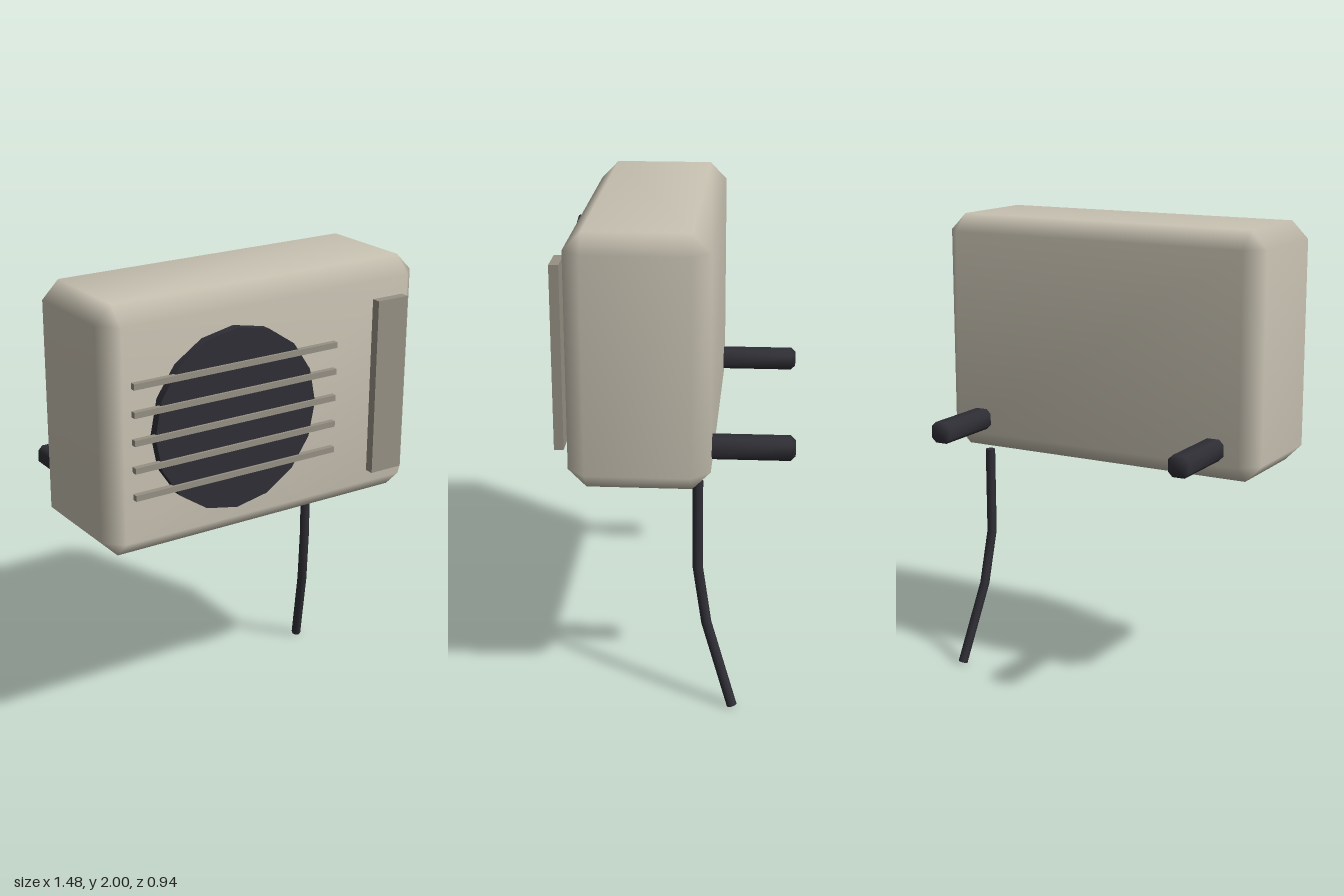
import * as THREE from 'three';
import { mergeVertices } from 'three/addons/utils/BufferGeometryUtils.js';
import { ConvexGeometry } from 'three/addons/geometries/ConvexGeometry.js';

const shell = new THREE.MeshStandardMaterial({ color: 0xc8c2b2 });
const trim = new THREE.MeshStandardMaterial({ color: 0x969084 });
const dark = new THREE.MeshStandardMaterial({ color: 0x2e2e35 });

// Box with one chamfer on every edge and smooth normals
function chamferBox(w, h, d, c) {
  const points = [];
  for (const x of [-1, 1]) for (const y of [-1, 1]) for (const z of [-1, 1]) {
    for (let axis = 0; axis < 3; axis++) {
      const inset = [c, c, c];
      inset[axis] = 0;
      points.push(new THREE.Vector3(
        x * (w / 2 - inset[0]), y * (h / 2 - inset[1]), z * (d / 2 - inset[2])));
    }
  }
  let geometry = new ConvexGeometry(points);
  geometry.deleteAttribute('normal');
  geometry = mergeVertices(geometry, 1e-4);
  geometry.computeVertexNormals();
  return geometry;
}

// Path of straight pieces, with one tube ring on each corner
class Polyline extends THREE.Curve {
  constructor(points) {
    super();
    this.points = points;
  }
  getUtoTmapping(u) { return u; }
  getPoint(t, target = new THREE.Vector3()) {
    const n = this.points.length - 1;
    const i = Math.min(Math.floor(t * n), n - 1);
    return target.lerpVectors(this.points[i], this.points[i + 1], t * n - i);
  }
}

export function createModel() {
  const model = new THREE.Group();
  const add = (parent, name, geometry, material, x = 0, y = 0, z = 0) => {
    const mesh = new THREE.Mesh(geometry, material);
    mesh.name = name;
    mesh.position.set(x, y, z);
    parent.add(mesh);
    return mesh;
  };

  // Casing
  add(model, 'casing', chamferBox(1.48, 1.013, 0.556, 0.072), shell, 0, 1.4935, 0.134);

  // Round fan opening with five slats across it
  const fan = new THREE.CylinderGeometry(0.37, 0.37, 0.037, 16).rotateX(Math.PI / 2);
  add(model, 'fanOpening', fan, dark, -0.188, 1.493, 0.4405);
  const grille = new THREE.Group();
  grille.name = 'grille';
  model.add(grille);
  for (let i = -2; i <= 2; i++) {
    add(grille, 'slat', new THREE.BoxGeometry(0.93, 0.024, 0.023), trim, -0.188, 1.493 + i * 0.111, 0.4585);
  }

  // Control panel
  add(model, 'sidePanel', new THREE.BoxGeometry(0.148, 0.74, 0.038), trim, 0.553, 1.491, 0.451);

  // Wall mounts behind the casing
  for (const side of [-1, 1]) {
    add(model, side > 0 ? 'leftMount' : 'rightMount',
      chamferBox(0.092, 0.088, 0.37, 0.02), dark, side * 0.557, 1.124, -0.285);
  }

  // Hanging hose with closed ends
  const hose = new THREE.Group();
  hose.name = 'hose';
  model.add(hose);
  const path = new Polyline([
    [0.553, 0.975, -0.088], [0.553, 0.6, -0.088], [0.573, 0.36, -0.125], [0.626, 0.008, -0.234],
  ].map((p) => new THREE.Vector3(...p)));
  add(hose, 'hoseTube', new THREE.TubeGeometry(path, 3, 0.021, 8), dark);
  for (const end of [0, 1]) {
    const p = path.getPoint(end);
    const out = path.getTangent(end).multiplyScalar(end ? 1 : -1);
    const cap = add(hose, 'hoseEnd', new THREE.CircleGeometry(0.021, 8), dark, p.x, p.y, p.z);
    cap.quaternion.setFromUnitVectors(new THREE.Vector3(0, 0, 1), out);
  }

  return model;
}
